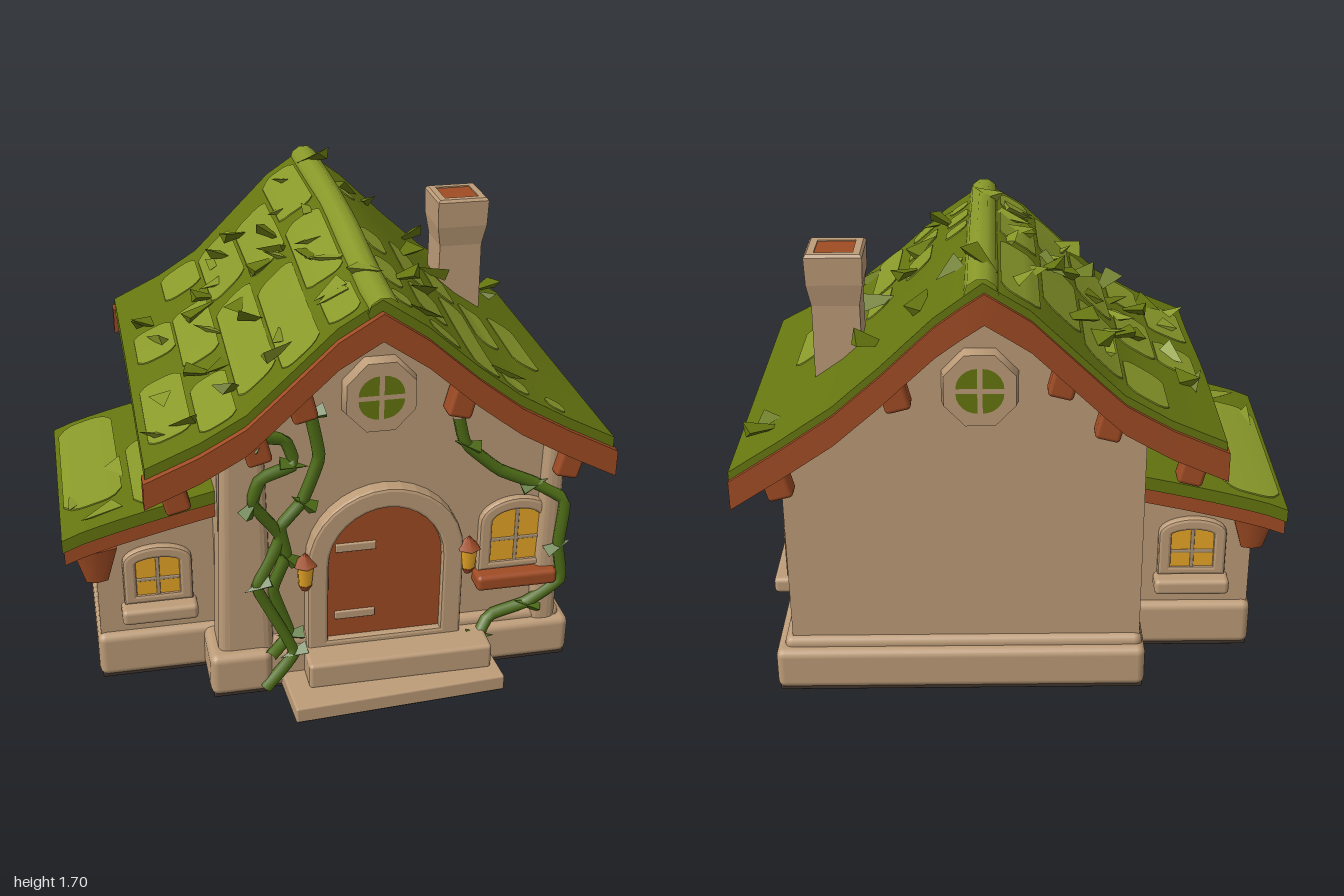
import * as THREE from 'three';
import { RoundedBoxGeometry } from 'three/addons/geometries/RoundedBoxGeometry.js';

const paint = (name, color) => Object.assign(new THREE.MeshStandardMaterial({ color }), { name });
const plaster = paint('plaster', 0xbd9c78), moss = paint('moss', 0x667610), paleMoss = paint('pale moss', 0x8a9a2a);
const rust = paint('rust wood', 0xa04c24), glow = paint('window glow', 0xf0ac28), vine = paint('vine green', 0x4f6e17);
const shadowBrown = paint('dark underside', 0x40332c), bars = paint('grey bars', 0xaa9274);

let seed = 7;
const rnd = (a, b) => {
  seed = (seed * 16807) % 2147483647;
  return a + (b - a) * seed / 2147483647;
};
const { lerp, clamp, smoothstep } = THREE.MathUtils;

// Main roof outline across x, and its swayed surface along z
const OUTLINE = [[-0.69, 1.0], [-0.5, 1.08], [-0.34, 1.17], [-0.19, 1.31], [-0.03, 1.46], [0.12, 1.55],
  [0.28, 1.44], [0.46, 1.28], [0.62, 1.155], [0.8, 1.05], [0.98, 0.955]];
function mainRoof(u, z) {
  const i = clamp(Math.floor(u), 0, 9), a = OUTLINE[i], b = OUTLINE[i + 1], t = u - i;
  const ridge = 1 - Math.abs(u - 5) / 5;
  const lift = 0.09 * smoothstep(-z, -0.6, 0.3) * (u < 5 ? 0.6 + 0.4 * ridge : 1.5 * ridge - 0.5 * ridge * ridge);
  const bow = 0.05 * ridge * clamp((-0.65 - z) / 0.1, 0, 1);
  return [lerp(a[0], b[0], t), lerp(a[1], b[1], t) + lift, z - bow];
}
const sideRoof = (u, z) => [lerp(-0.985, -0.42, u), 0.63 + 0.04 * z + 0.15 * Math.pow(Math.max(u, 0), 0.8), z];

// Bends a box between two offsets of a roof surface; floor gives a flat underside
function slab(surface, u0, u1, z0, z1, top, bottom, { nu = 20, nz = 10, floor, round = 0 } = {}) {
  const g = new THREE.BoxGeometry(1, 1, 1, nu, 1, nz), p = g.attributes.position;
  for (let i = 0; i < p.count; i++) {
    const a = p.getX(i), shrink = round * Math.pow(Math.abs(2 * a), 4);
    const half = Math.max((z1 - z0) / 2 - shrink, 0.01);
    const [x, y, z] = surface(lerp(u0, u1, a + 0.5), (z0 + z1) / 2 + p.getZ(i) * 2 * half);
    const up = p.getY(i) > 0;
    p.setXYZ(i, x, !up && floor !== undefined ? floor : y + (up ? top : bottom), z);
  }
  g.computeVertexNormals();
  return g;
}

function archShape(w, h, rise, y0 = 0, Kind = THREE.Shape) {
  const s = new Kind();
  s.moveTo(-w / 2, y0);
  s.lineTo(w / 2, y0);
  s.lineTo(w / 2, y0 + h - rise);
  s.bezierCurveTo(w / 2, y0 + h - rise * 0.4, w * 0.25, y0 + h, 0, y0 + h);
  s.bezierCurveTo(-w * 0.25, y0 + h, -w / 2, y0 + h - rise * 0.4, -w / 2, y0 + h - rise);
  s.closePath();
  return s;
}

export function createModel() {
  const model = new THREE.Group();
  const add = (name, geometry, material, x = 0, y = 0, z = 0, parent = model) => {
    const m = new THREE.Mesh(geometry, material);
    m.name = name;
    m.position.set(x, y, z);
    parent.add(m);
    return m;
  };
  const block = (name, mat, x0, x1, y0, y1, z0, z1, r = 0.02, parent = model) => add(name,
    new RoundedBoxGeometry(x1 - x0, y1 - y0, z1 - z0, 2, r), mat, (x0 + x1) / 2, (y0 + y1) / 2, (z0 + z1) / 2, parent);
  const extrude = (shape, depth, bevel = 0.012) => new THREE.ExtrudeGeometry(shape,
    { depth, bevelEnabled: bevel > 0, bevelSize: bevel, bevelThickness: bevel, bevelSegments: 2, curveSegments: 8 });

  // Arched surround with an opening
  const surround = (name, w, h, rise, border, depth, parent) => {
    const s = archShape(w + border * 2, h + border, rise + border * 0.7);
    s.holes.push(archShape(w + 0.02, h - 0.002, rise, 0.012, THREE.Path));
    return add(name, extrude(s, depth), plaster, 0, 0, 0, parent);
  };
  const windowAt = (name, w, h, rise, sill, x, y, z, turn) => {
    const g = new THREE.Group();
    g.name = name;
    surround('windowFrame', w, h, rise, 0.035, 0.016, g);
    add('windowPane', extrude(archShape(w + 0.02, h, rise), 0.009, 0), glow, 0, 0, 0.01, g);
    block('mullion', bars, -0.007, 0.007, 0, h, 0.011, 0.023, 0.004, g);
    block('crossbar', bars, -w / 2, w / 2, h * 0.45, h * 0.45 + 0.014, 0.011, 0.023, 0.004, g);
    block('windowSill', sill, -w / 2 - 0.06, w / 2 + 0.06, -0.075, -0.012, -0.02, 0.075, 0.018, g);
    g.position.set(x, y, z);
    g.rotation.y = turn;
    model.add(g);
  };

  // Walls, footings with dark undersides, and corner piers
  add('houseWalls', slab(mainRoof, 1.38, 9.17, -0.62, 0.53, -0.07, 0, { floor: 0.05 }), plaster);
  block('wallFoot', plaster, -0.45, 0.86, 0.1, 0.205, -0.645, 0.56, 0.03);
  add('annexWalls', slab(sideRoof, 0.2, 1, -0.38, 0.38, -0.06, 0, { floor: 0.05, nu: 6, nz: 2 }), plaster);
  const footing = (name, x0, x1, y1, z0, z1, r) => {
    block(name, plaster, x0, x1, 0.008, y1, z0, z1, r);
    return block(name + 'Underside', shadowBrown, x0 + 0.01, x1 - 0.01, 0, 0.02, z0 + 0.01, z1 - 0.01, 0.005);
  };
  footing('houseFooting', -0.46, 0.89, 0.17, -0.68, 0.59, 0.03);
  footing('annexFooting', -0.885, -0.4, 0.19, -0.41, 0.41, 0.03);
  footing('pierFooting', -0.49, -0.26, 0.18, 0.35, 0.61, 0.03);
  const pier = (x, y1, w) => {
    const m = block('frontPier', plaster, x - w / 2, x + w / 2, 0.1, y1, 0.4, 0.57, 0.03), p = m.geometry.attributes.position;
    for (let i = 0; i < p.count; i++) p.setX(i, p.getX(i) * (p.getY(i) < 0 ? 1.3 : 0.95));
    m.geometry.computeVertexNormals();
  };
  pier(-0.35, 1.08, 0.16);
  pier(0.79, 0.95, 0.08);

  // Main roof: moss top, dark soffit, barge boards and ridge roll
  add('mossRoof', slab(mainRoof, 0, 10, -0.77, 0.62, 0, -0.05), moss);
  add('roofSoffit', slab(mainRoof, 0.1, 9.95, -0.76, 0.6, -0.04, -0.115), shadowBrown);
  add('frontBargeBoard', slab(mainRoof, -0.05, 10.05, 0.58, 0.645, -0.04, -0.14, { nz: 1 }), rust);
  add('backBargeBoard', slab(mainRoof, -0.05, 10, -0.785, -0.73, -0.03, -0.135, { nz: 1 }), rust);
  const ridgePath = [0.63, 0.3, 0, -0.4, -0.77].map(z => new THREE.Vector3(...mainRoof(5, z)).add(new THREE.Vector3(0.005, -0.043, 0)));
  add('ridgeRoll', new THREE.TubeGeometry(new THREE.CatmullRomCurve3(ridgePath), 16, 0.056, 10), paleMoss);
  for (const z of [0.57, -0.68]) for (const u of [0.5, 2.2, 3.25, 6.8, 9.2]) {
    const [x, y] = mainRoof(u, z);
    const b = block('gableBracket', rust, -0.045, 0.045, -0.075, 0.075, -0.04, 0.04, 0.015);
    b.position.set(x, y - 0.16, z);
    b.rotation.z = u < 5 ? 0.25 : -0.25;
  }

  // Pale moss patches: [u, z start, z end, half width]
  const patches = [
    [5.65, 0.42, 0.51, 0.22], [5.65, 0.18, 0.36, 0.24], [5.65, -0.04, 0.11, 0.24], [5.65, -0.47, -0.4, 0.2],
    [6.45, 0.48, 0.59, 0.28], [6.45, 0.2, 0.41, 0.3], [6.45, -0.13, 0.14, 0.25],
    [7.3, 0.07, 0.6, 0.3], [7.3, -0.19, 0.03, 0.27], [8.02, 0.48, 0.59, 0.26], [8.0, -0.06, 0.24, 0.27],
    [8.85, -0.13, 0.25, 0.3], [8.85, 0.51, 0.59, 0.2],
    [0.6, -0.3, -0.05, 0.38], [0.55, 0.1, 0.5, 0.4], [1.45, -0.71, -0.46, 0.45], [1.45, -0.3, 0.12, 0.42], [1.45, 0.25, 0.58, 0.4],
    [2.4, -0.68, -0.2, 0.43], [2.4, -0.12, 0.5, 0.43], [3.3, -0.6, -0.1, 0.4], [3.3, 0.0, 0.58, 0.4],
    [4.2, -0.72, -0.28, 0.42], [4.2, -0.2, 0.28, 0.42], [4.25, 0.36, 0.58, 0.35]];
  for (const [u, a, b, w] of patches)
    add('mossPatch', slab(mainRoof, u - w, u + w, a, b, 0.005, -0.004, { nu: 8, nz: 6, round: 0.03 }), paleMoss);

  // Folded leaves lying on the roofs
  const leafShape = new THREE.ConeGeometry(0.05, 0.13, 3).toNonIndexed();
  leafShape.computeVertexNormals();
  const leaf = (p, material) => {
    const m = add('roofLeaf', leafShape, material, p[0], p[1] + 0.012, p[2]);
    m.rotation.set(rnd(1.0, 1.7), rnd(-0.5, 0.5), rnd(-2.5, 2.5));
    m.scale.set(1, rnd(0.8, 1.2), 0.5);
  };
  for (let i = 0; i < 32; i++) leaf(mainRoof(rnd(0.3, 4.6), rnd(-0.68, 0.55)), i % 2 ? moss : paleMoss);
  for (let i = 0; i < 11; i++) leaf(mainRoof(rnd(5.6, 9.5), rnd(-0.65, 0.55)), moss);
  leaf(mainRoof(5, -0.64), moss);
  leaf(mainRoof(5, 0.4), paleMoss);
  for (const [u, z] of [[0.1, 0.25], [0.25, 0.38], [0.4, 0.1]]) leaf(sideRoof(u, z), paleMoss);

  // Annex roof
  add('annexMossRoof', slab(sideRoof, 0, 1, -0.46, 0.47, 0.01, -0.04, { nu: 8, nz: 6 }), moss);
  add('annexRoofBoard', slab(sideRoof, 0.01, 1, -0.45, 0.46, -0.035, -0.1, { nu: 8, nz: 2 }), rust);
  for (const [u, a, b, w] of [[0.22, -0.42, 0.3, 0.19], [0.65, -0.1, 0.42, 0.18]])
    add('annexMossPatch', slab(sideRoof, u - w, u + w, a, b, 0.015, 0, { nu: 8, nz: 6, round: 0.06 }), paleMoss);
  for (const z of [0.4, -0.4]) {
    const b = add('annexBracket', new THREE.CylinderGeometry(0.09, 0.045, 0.14, 6), rust, -0.87, 0.51, z);
    b.scale.z = 0.5;
  }

  // Chimney with flared foot and top
  const stack = [[0.13, 0], [0.12, 0.12], [0.118, 0.4], [0.138, 0.48], [0.142, 0.58], [0.13, 0.59], [0.095, 0.59], [0.095, 0.575]]
    .map(p => new THREE.Vector2(...p));
  const square = new THREE.LatheGeometry(stack, 4, Math.PI / 4).toNonIndexed();
  square.computeVertexNormals();
  add('chimney', square, plaster, 0.635, 1.0, -0.3);
  block('chimneyOpening', rust, 0.56, 0.71, 1.53, 1.585, -0.375, -0.225, 0.005);

  // Door, hinges, lanterns and steps
  const entrance = new THREE.Group();
  entrance.name = 'entrance';
  entrance.position.set(0.165, 0.165, 0.53);
  model.add(entrance);
  surround('doorSurround', 0.43, 0.57, 0.24, 0.065, 0.045, entrance);
  add('door', extrude(archShape(0.45, 0.57, 0.24), 0.03, 0), rust, 0, 0, 0, entrance);
  for (const y of [0.1, 0.39]) block('doorHinge', plaster, -0.185, -0.035, y, y + 0.034, 0.02, 0.039, 0.005, entrance);
  for (const x of [-0.3, 0.31]) {
    add('lanternLight', new THREE.CylinderGeometry(0.034, 0.026, 0.085, 6), glow, x, 0.325, 0.05, entrance);
    add('lanternCap', new THREE.ConeGeometry(0.046, 0.05, 6), rust, x, 0.39, 0.05, entrance);
    add('lanternFoot', new THREE.CylinderGeometry(0.028, 0.014, 0.025, 6), rust, x, 0.27, 0.05, entrance);
  }
  for (const [name, mat, y0, y1, inset] of [['lowerStep', plaster, 0.008, 0.07, 0], ['lowerStepUnderside', shadowBrown, 0, 0.02, 0.008]])
    block(name, mat, -0.22 + inset, 0.575 - inset, y0, y1, 0.5 + inset, 0.79 - inset, 0.008).rotation.y = 0.06;
  block('upperStep', plaster, -0.14, 0.55, 0.06, 0.165, 0.5, 0.7, 0.015);

  // Windows
  windowAt('frontWindow', 0.19, 0.24, 0.06, rust, 0.665, 0.415, 0.53, 0);
  windowAt('annexFrontWindow', 0.16, 0.18, 0.03, plaster, -0.65, 0.33, 0.38, 0);
  windowAt('annexBackWindow', 0.16, 0.18, 0.03, plaster, -0.65, 0.33, -0.38, Math.PI);
  for (const z of [0.15, -0.34]) windowAt('sideWindow', 0.21, 0.28, 0.14, plaster, 0.83, 0.385, z, Math.PI / 2);

  // Eight-sided gable windows, front and back
  for (const [z, turn, y] of [[0.53, 0, 1.17], [-0.62, Math.PI, 1.2]]) {
    const g = new THREE.Group();
    g.name = 'gableWindow';
    const frame = add('gableFrame', new THREE.CylinderGeometry(0.14, 0.15, 0.05, 8).rotateY(Math.PI / 8).rotateX(Math.PI / 2), plaster, 0, 0, 0.02, g);
    frame.scale.x = 0.95;
    for (let k = 0; k < 4; k++)
      add('gablePane', new THREE.CircleGeometry(0.073, 6, k * Math.PI / 2, Math.PI / 2), moss,
        k === 0 || k === 3 ? 0.009 : -0.009, k < 2 ? 0.009 : -0.009, 0.047, g);
    g.position.set(0.135, y, z);
    g.rotation.y = turn;
    model.add(g);
  }

  // Climbing vines with small leaves
  const vines = [
    [[-0.29, 0.03], [-0.18, 0.16], [-0.28, 0.38], [-0.31, 0.46], [-0.22, 0.64], [-0.32, 0.8], [-0.29, 0.9], [-0.17, 0.93], [-0.2, 1.03], [-0.28, 1.06]],
    [[-0.27, 0.17], [-0.19, 0.22], [-0.25, 0.42], [-0.2, 0.56], [-0.22, 0.68], [-0.14, 0.78], [-0.08, 0.95], [-0.11, 1.12]],
    [[0.42, 1.06], [0.45, 0.95], [0.58, 0.83], [0.72, 0.76], [0.83, 0.69], [0.82, 0.5], [0.84, 0.35], [0.72, 0.24], [0.58, 0.2], [0.53, 0.14]]];
  for (const path of vines) {
    const pts = path.map(([x, y]) => new THREE.Vector3(x, y, (x < -0.25 || x > 0.74 ? 0.58 : 0.555) + (y < 0.2 ? 0.035 : 0)));
    add('climbingVine', new THREE.TubeGeometry(new THREE.CatmullRomCurve3(pts, false, 'catmullrom', 0.2), 40, 0.023, 6), vine);
    for (let i = 1; i < pts.length; i += 2) {
      const l = add('vineLeaf', leafShape, vine, pts[i].x, pts[i].y, pts[i].z + 0.012);
      l.rotation.z = rnd(-2, 2);
      l.scale.set(0.7, 0.8, 0.5);
    }
  }
  return model;
}
